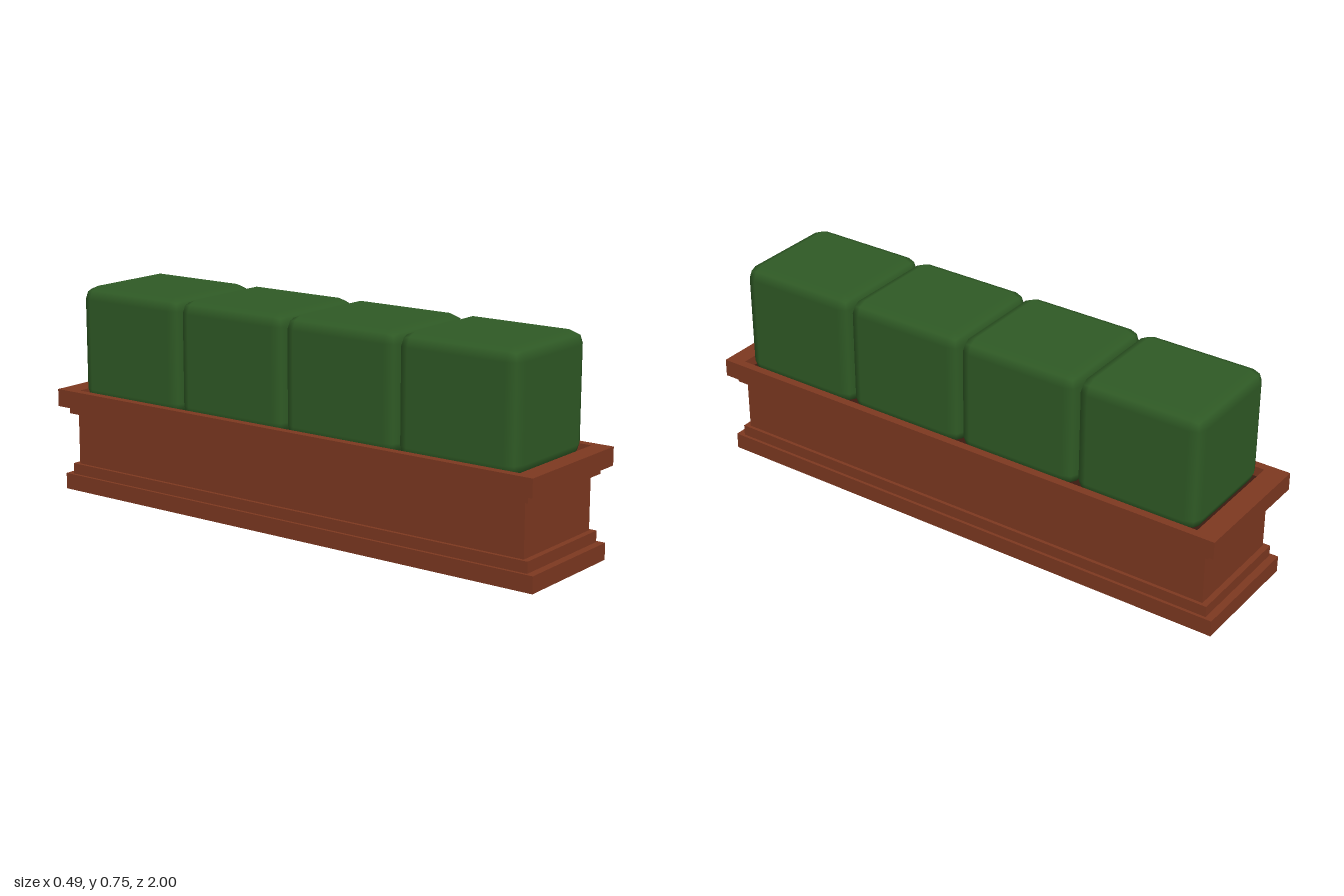
import * as THREE from 'three';
import { RoundedBoxGeometry } from 'three/addons/geometries/RoundedBoxGeometry.js';

const brick = new THREE.MeshStandardMaterial({ color: 0x7d3820 });
const earth = new THREE.MeshStandardMaterial({ color: 0x3a1a10 });
const leaf = new THREE.MeshStandardMaterial({ color: 0x2f5a25 });

// Closed rectangle path from half sizes, optionally shifted along the length
function rectangle(path, hx, hz, shift = 0) {
  path.moveTo(-hx, -hz + shift);
  path.lineTo(hx, -hz + shift);
  path.lineTo(hx, hz + shift);
  path.lineTo(-hx, hz + shift);
  path.closePath();
  return path;
}

export function createModel() {
  const model = new THREE.Group();
  const add = (name, geometry, material, y, z = 0) => {
    const mesh = new THREE.Mesh(geometry, material);
    mesh.name = name;
    mesh.position.set(0, y, z);
    model.add(mesh);
  };

  // Stepped planter courses: name, half width, half length, bottom, top
  const courses = [
    ['basePlinth', 0.221, 0.994, 0, 0.058],
    ['baseMoulding', 0.21, 0.967, 0.058, 0.097],
    ['planterWall', 0.198, 0.946, 0.097, 0.285],
    ['rimMoulding', 0.219, 0.969, 0.285, 0.312],
  ];
  for (const [name, hx, hz, y0, y1] of courses) {
    add(name, new THREE.BoxGeometry(hx * 2, y1 - y0, hz * 2), brick, (y0 + y1) / 2);
  }

  // Open rim frame around the soil
  const frame = rectangle(new THREE.Shape(), 0.245, 1);
  frame.holes.push(rectangle(new THREE.Path(), 0.215, 0.928, -0.007));
  const rim = new THREE.ExtrudeGeometry(frame, { depth: 0.063, bevelEnabled: false });
  rim.rotateX(-Math.PI / 2);
  add('planterRim', rim, brick, 0.312);
  add('soil', new THREE.BoxGeometry(0.43, 0.03, 1.856), earth, 0.325, 0.007);

  // Row of clipped hedge blocks with softened edges
  for (let i = 0; i < 4; i++) {
    const hedge = new RoundedBoxGeometry(0.418, 0.415, 0.455, 1, 0.045);
    add('hedge' + (i + 1), hedge, leaf, 0.5475, 0.003 + (i - 1.5) * 0.457);
  }
  return model;
}
